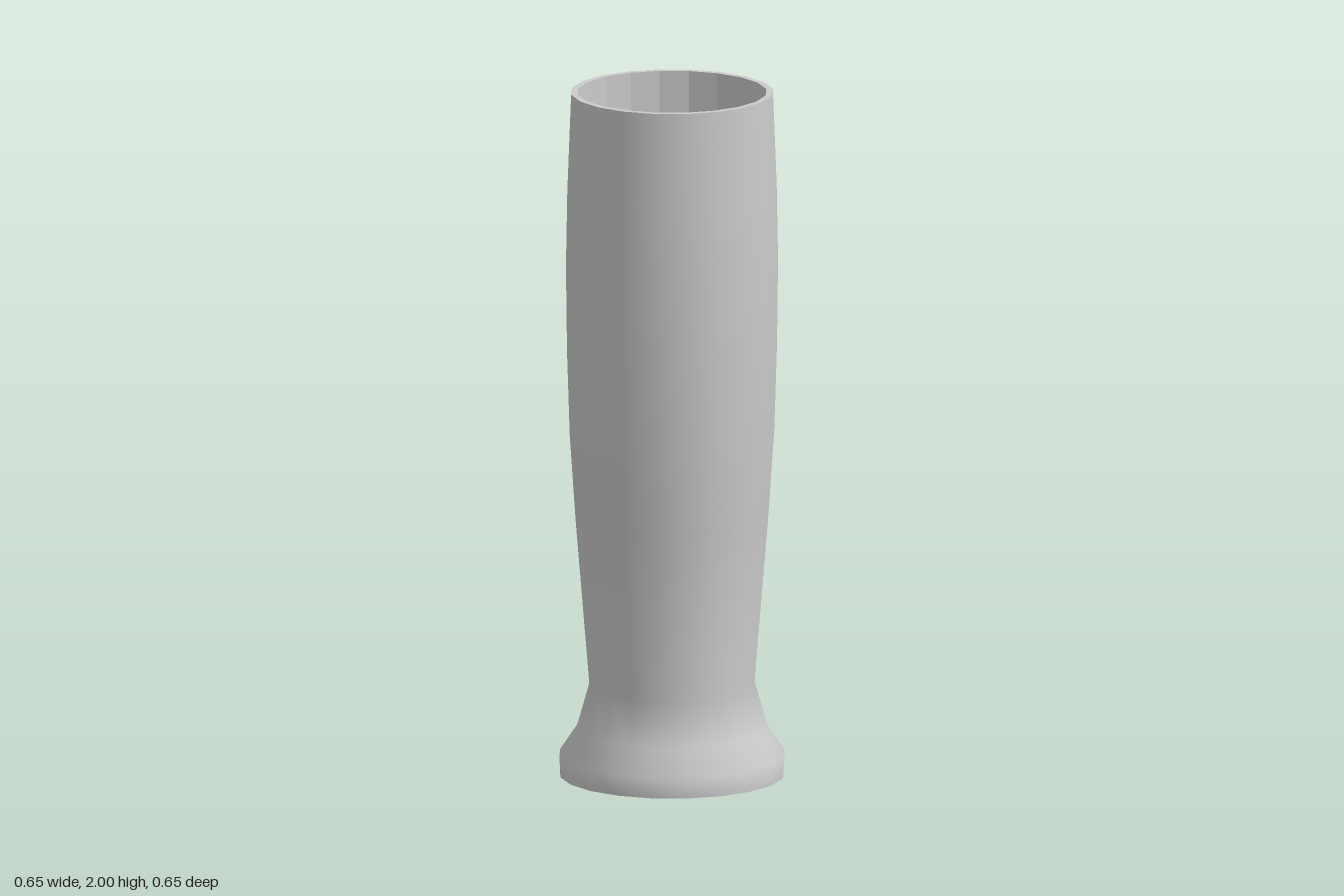
import * as THREE from 'three';

const SIDES = 20;

// Lathe a profile of [radius, height] pairs into a named mesh
function turned(name, profile, flatShading) {
  const points = profile.map(([r, y]) => new THREE.Vector2(r, y));
  const material = new THREE.MeshStandardMaterial({ color: 0xcccccc, flatShading });
  const mesh = new THREE.Mesh(new THREE.LatheGeometry(points, SIDES), material);
  mesh.name = name;
  return mesh;
}

export function createModel() {
  const group = new THREE.Group();
  group.name = 'hollowGrip';

  // Smooth outer skin: flared foot, narrow neck, gently swelling body
  group.add(turned('outerBody', [
    [0.322, 0], [0.325, 0.06], [0.275, 0.135], [0.238, 0.265],
    [0.278, 0.75], [0.295, 1.0], [0.303, 1.25], [0.306, 1.5],
    [0.302, 1.72], [0.291, 2],
  ], false));

  // Flat underside
  group.add(turned('underside', [[0, 0], [0.322, 0]], true));

  // Rim at the mouth
  group.add(turned('rim', [[0.291, 2], [0.272, 2]], true));

  // Faceted straight bore with a flat floor
  group.add(turned('boreWall', [[0.272, 2], [0.272, 1]], true));
  group.add(turned('boreFloor', [[0.272, 1], [0, 1]], true));

  return group;
}
